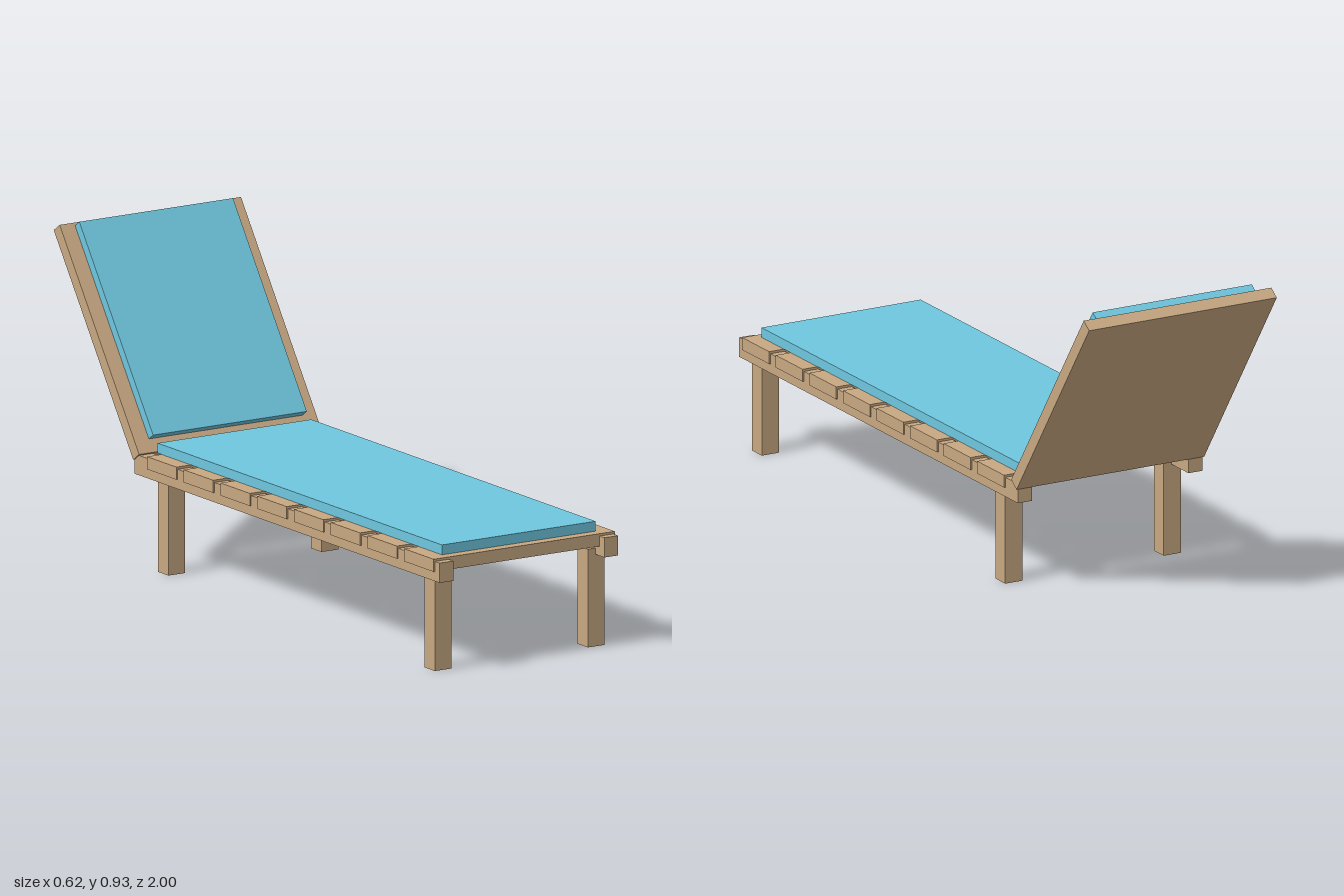
import * as THREE from 'three';

export function createModel() {
  const model = new THREE.Group();
  model.name = 'sunLounger';

  const wood = new THREE.MeshStandardMaterial({ color: 0xc8a882 });
  wood.name = 'wood';
  const fabric = new THREE.MeshStandardMaterial({ color: 0x6fc7df });
  fabric.name = 'blueFabric';

  // Adds a box of size [x, y, z] centred at [x, y, z].
  function addBox(parent, name, size, position, material) {
    const mesh = new THREE.Mesh(new THREE.BoxGeometry(...size), material);
    mesh.name = name;
    mesh.position.set(...position);
    parent.add(mesh);
    return mesh;
  }

  // Side rails and legs, mirrored
  for (const [side, s] of [['left', 1], ['right', -1]]) {
    addBox(model, side + 'Rail', [0.047, 0.058, 1.585], [s * 0.281, 0.299, 0.2075], wood);
    addBox(model, side + 'FrontLeg', [0.057, 0.288, 0.055], [s * 0.261, 0.144, 0.925], wood);
    addBox(model, side + 'BackLeg', [0.057, 0.288, 0.055], [s * 0.261, 0.144, -0.46], wood);
  }

  // Seat slats, standing slightly proud of the rails
  for (let i = 0; i < 8; i++) {
    addBox(model, 'seatSlat' + (i + 1), [0.618, 0.037, 0.153], [0, 0.3165, 0.899 - i * 0.191], wood);
  }

  // Seat cushion
  addBox(model, 'seatCushion', [0.524, 0.029, 1.478], [0, 0.3505, 0.208], fabric);

  // Reclined backrest: local origin is the panel's lower front edge,
  // local y runs up the panel and local z points out of its front
  const backrest = new THREE.Group();
  backrest.name = 'backrest';
  backrest.position.set(0, 0.333, -0.555);
  backrest.rotation.x = -THREE.MathUtils.degToRad(35);
  model.add(backrest);
  addBox(backrest, 'backPanel', [0.618, 0.72, 0.0375], [0, 0.36, -0.01875], wood);
  addBox(backrest, 'backCushion', [0.524, 0.669, 0.027], [0, 0.3755, 0.0165], fabric);

  return model;
}
